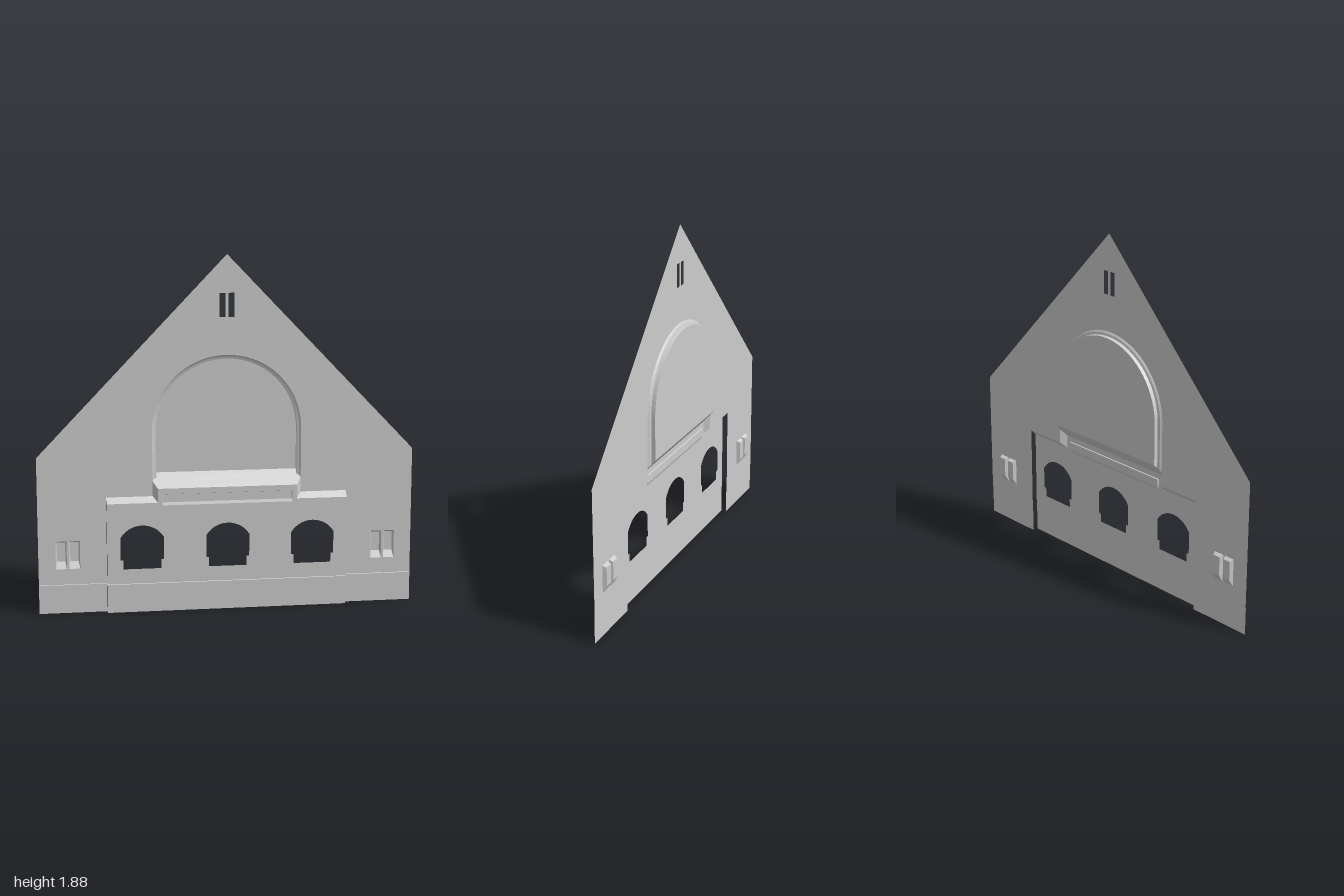
import * as THREE from 'three';

const material = new THREE.MeshStandardMaterial({ color: 0xcccccc, flatShading: true, side: THREE.DoubleSide });

// Skin between successive rows of [x, y, z] points
function loft(name, rows) {
  const pos = [];
  for (let r = 0; r < rows.length - 1; r++) {
    const a = rows[r], b = rows[r + 1];
    for (let i = 0; i < a.length - 1; i++) {
      pos.push(...a[i], ...a[i + 1], ...b[i + 1], ...a[i], ...b[i + 1], ...b[i]);
    }
  }
  const g = new THREE.BufferGeometry();
  g.setAttribute('position', new THREE.Float32BufferAttribute(pos, 3));
  g.computeVertexNormals();
  const mesh = new THREE.Mesh(g, material);
  mesh.name = name;
  return mesh;
}

// Flat sheet with holes at depth z
function sheet(name, points, z, holes = []) {
  const shape = new THREE.Shape(points.map(([x, y]) => new THREE.Vector2(x, y)));
  for (const h of holes) shape.holes.push(new THREE.Path(h.map(([x, y]) => new THREE.Vector2(x, y))));
  const mesh = new THREE.Mesh(new THREE.ShapeGeometry(shape), material);
  mesh.position.z = z;
  mesh.name = name;
  return mesh;
}

const rect = (x0, x1, y0, y1) => [[x0, y0], [x1, y0], [x1, y1], [x0, y1]];

// Splayed recess from a front rectangle to a smaller back one
function niche(name, front, back, zFront, zBack) {
  const group = new THREE.Group();
  group.name = name;
  const ring = (p, z) => [...p, p[0]].map(([x, y]) => [x, y, z]);
  group.add(loft(name + 'Reveal', [ring(front, zFront), ring(back, zBack)]));
  group.add(sheet(name + 'Back', back, zBack));
  return group;
}

// Round-headed outline running from bottom right over the top to bottom left
function archLine(r, bottom, spring = 0.967, n = 36) {
  const pts = [[r, bottom]];
  for (let i = 0; i <= n; i++) {
    const a = (Math.PI * i) / n;
    pts.push([r * Math.cos(a), spring + r * Math.sin(a)]);
  }
  pts.push([-r, bottom]);
  return pts;
}

// Segment-headed opening with narrower foot
function bayWindow(cx) {
  const w = 0.115, foot = 0.1, rad = 0.1342, cy = 0.336;
  const a0 = Math.acos(w / rad), n = 14;
  const pts = [[-foot, 0.235], [foot, 0.235], [foot, 0.285], [w, 0.285]];
  for (let i = 0; i <= n; i++) {
    const a = a0 + ((Math.PI - 2 * a0) * i) / n;
    pts.push([rad * Math.cos(a), cy + rad * Math.sin(a)]);
  }
  pts.push([-w, 0.285], [-foot, 0.285]);
  return pts.map(([x, y]) => [x + cx, y]);
}

export function createModel() {
  const model = new THREE.Group();
  model.name = 'gableFacade';
  const plinthY = 0.155, lip = 0.002, bayZ = 0.03, archZ = -0.033;

  // Main gable wall, open for the arch and the projecting bay
  const nicheCentres = [-0.88, -0.81, 0.81, 0.88];
  const nicheFronts = nicheCentres.map((c) => rect(c - 0.029, c + 0.029, 0.24, 0.39));
  const slots = [rect(-0.04, -0.008, 1.56, 1.685), rect(0.008, 0.04, 1.56, 1.685)];
  model.add(sheet('gableWall', [
    [1, plinthY], [1, 0.84], [0, 1.885], [-1, 0.84], [-1, plinthY], [-0.64, plinthY],
    [-0.64, 0.62], ...archLine(0.395, 0.62).reverse(), [0.64, 0.62], [0.64, plinthY],
  ], 0, [...slots, ...nicheFronts]));

  // Small paired niches near the corners
  nicheCentres.forEach((c, i) => {
    model.add(niche('cornerNiche', nicheFronts[i], rect(c - 0.022, c + 0.022, 0.277, 0.38), 0, -0.02));
  });

  // Moulded arch surround and its recessed panel
  const profile = [[0.395, 0, 0.7], [0.386, -0.008, 0.71], [0.374, -0.012, 0.715], [0.373, archZ, 0.74]];
  model.add(loft('archSurround', profile.map(([r, z, b]) => archLine(r, b).map(([x, y]) => [x, y, z]))));
  model.add(sheet('archPanel', archLine(0.373, 0.74), archZ));

  // Projecting bay with three openings and a shallow recess under the sill
  const recess = rect(-0.345, 0.345, 0.575, 0.635);
  model.add(sheet('bayWall', [
    [-0.64, plinthY], [0.64, plinthY], [0.64, 0.59], [0.37, 0.59],
    [0.37, 0.665], [-0.37, 0.665], [-0.37, 0.59], [-0.64, 0.59],
  ], bayZ, [recess, ...[-0.455, 0, 0.455].map(bayWindow)]));
  model.add(niche('bayRecess', recess, rect(-0.343, 0.343, 0.59, 0.633), bayZ, 0.024));

  // Sloped sill below the arch
  model.add(loft('archSill', [[0.37, 0.665, bayZ], [0.395, 0.7, 0], [0.375, 0.74, archZ]]
    .map(([x, y, z]) => [[-x, y, z], [x, y, z]])));

  // Mirrored sill cheeks, bay shoulders and side plinths
  for (const s of [-1, 1]) {
    model.add(loft('sillCheek', [
      [[s * 0.37, 0.59, bayZ], [s * 0.395, 0.62, 0]],
      [[s * 0.37, 0.665, bayZ], [s * 0.395, 0.7, 0]],
    ]));
    model.add(loft('bayShoulder', [
      [[s * 0.37, 0.59, bayZ], [s * 0.64, 0.59, bayZ]],
      [[s * 0.395, 0.62, 0], [s * 0.64, 0.62, 0]],
    ]));
  }

  // Plinths with a narrow ledge on top
  for (const [x0, x1, z] of [[-1, -0.64, 0], [-0.64, 0.64, bayZ], [0.64, 1, 0]]) {
    model.add(loft('plinth', [[0, z + lip], [plinthY - 0.002, z + lip], [plinthY, z]]
      .map(([y, d]) => [[x0, y, d], [x1, y, d]])));
  }
  return model;
}
